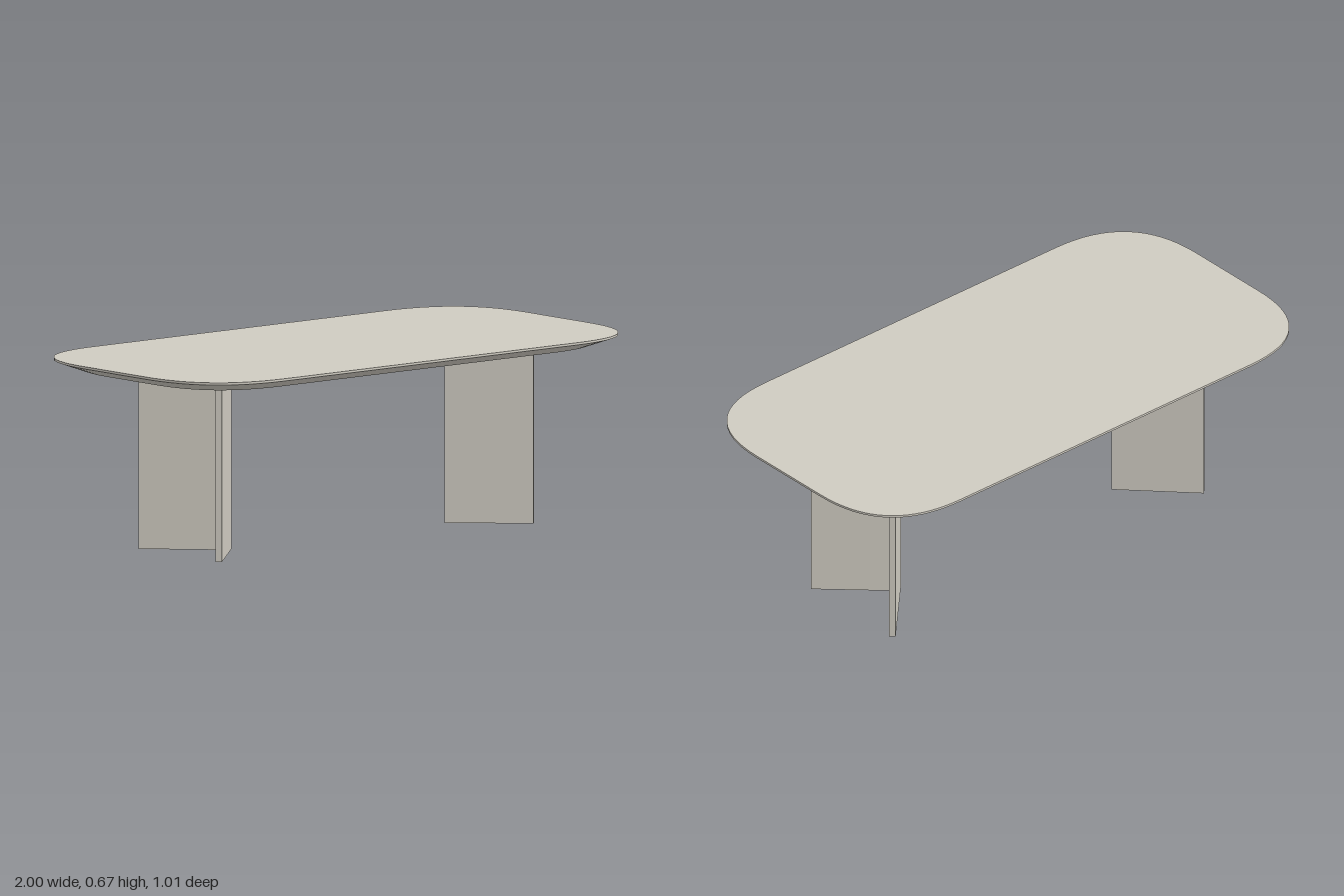
import * as THREE from 'three';

const stone = new THREE.MeshStandardMaterial({ color: 0xcfcbc1 });
stone.name = 'warm grey';

const TOP = 0.665, RIM = 0.657, UNDER = 0.625;

// Counter-clockwise rectangle outline with soft, long corner curves
function outline(hx, hz, reach, steps = 16) {
  const pts = [];
  const corners = [[1, 1], [-1, 1], [-1, -1], [1, -1]];
  corners.forEach(([sx, sy], k) => {
    const c = new THREE.Vector2(sx * hx, sy * hz);
    const onSide = new THREE.Vector2(c.x, c.y - sy * reach);
    const onEnd = new THREE.Vector2(c.x - sx * reach, c.y);
    const curve = k % 2 === 0
      ? new THREE.QuadraticBezierCurve(onSide, c, onEnd)
      : new THREE.QuadraticBezierCurve(onEnd, c, onSide);
    pts.push(...curve.getPoints(steps));
  });
  return pts;
}

// Closed strip joining a lower outline to an upper one
function band(lower, y0, upper, y1) {
  const pos = [], index = [], n = lower.length;
  for (let i = 0; i < n; i++) {
    pos.push(lower[i].x, y0, -lower[i].y, upper[i].x, y1, -upper[i].y);
    const a = 2 * i, b = 2 * ((i + 1) % n);
    index.push(a, b, a + 1, b, b + 1, a + 1);
  }
  const g = new THREE.BufferGeometry();
  g.setAttribute('position', new THREE.Float32BufferAttribute(pos, 3));
  g.setIndex(index);
  g.computeVertexNormals();
  return g;
}

// Flat face filling an outline, looking up or down
function cap(pts, y, up) {
  const g = new THREE.ShapeGeometry(new THREE.Shape(pts));
  return g.rotateX(up ? -Math.PI / 2 : Math.PI / 2).translate(0, y, 0);
}

function add(parent, name, geometry) {
  const m = new THREE.Mesh(geometry, stone);
  m.name = name;
  parent.add(m);
  return m;
}

export function createModel() {
  const table = new THREE.Group();
  table.name = 'table';

  // Thin top with a narrow rim and a bevelled underside
  const top = new THREE.Group();
  top.name = 'tableTop';
  table.add(top);
  const outer = outline(1, 0.505, 0.34);
  const inner = outline(0.92, 0.427, 0.3);
  add(top, 'topSurface', cap(outer, TOP, true));
  add(top, 'rim', band(outer, RIM, outer, TOP));
  add(top, 'bevel', band(inner, UNDER, outer, RIM));
  add(top, 'underside', cap(inner, UNDER, false));

  // V-shaped panel legs opening outwards, as [x, z] from the corner
  const section = [[0, 0], [0.222, 0.211], [0.238, 0.195], [0.032, 0],
    [0.238, -0.211], [0.222, -0.227]];
  for (const [name, side, x] of [['leftLeg', 1, 0.489], ['rightLeg', -1, -0.473]]) {
    const shape = new THREE.Shape(section.map(([px, pz]) => new THREE.Vector2(x + side * px, -pz)));
    const g = new THREE.ExtrudeGeometry(shape, { depth: UNDER, bevelEnabled: false });
    add(table, name, g.rotateX(-Math.PI / 2));
  }
  return table;
}
